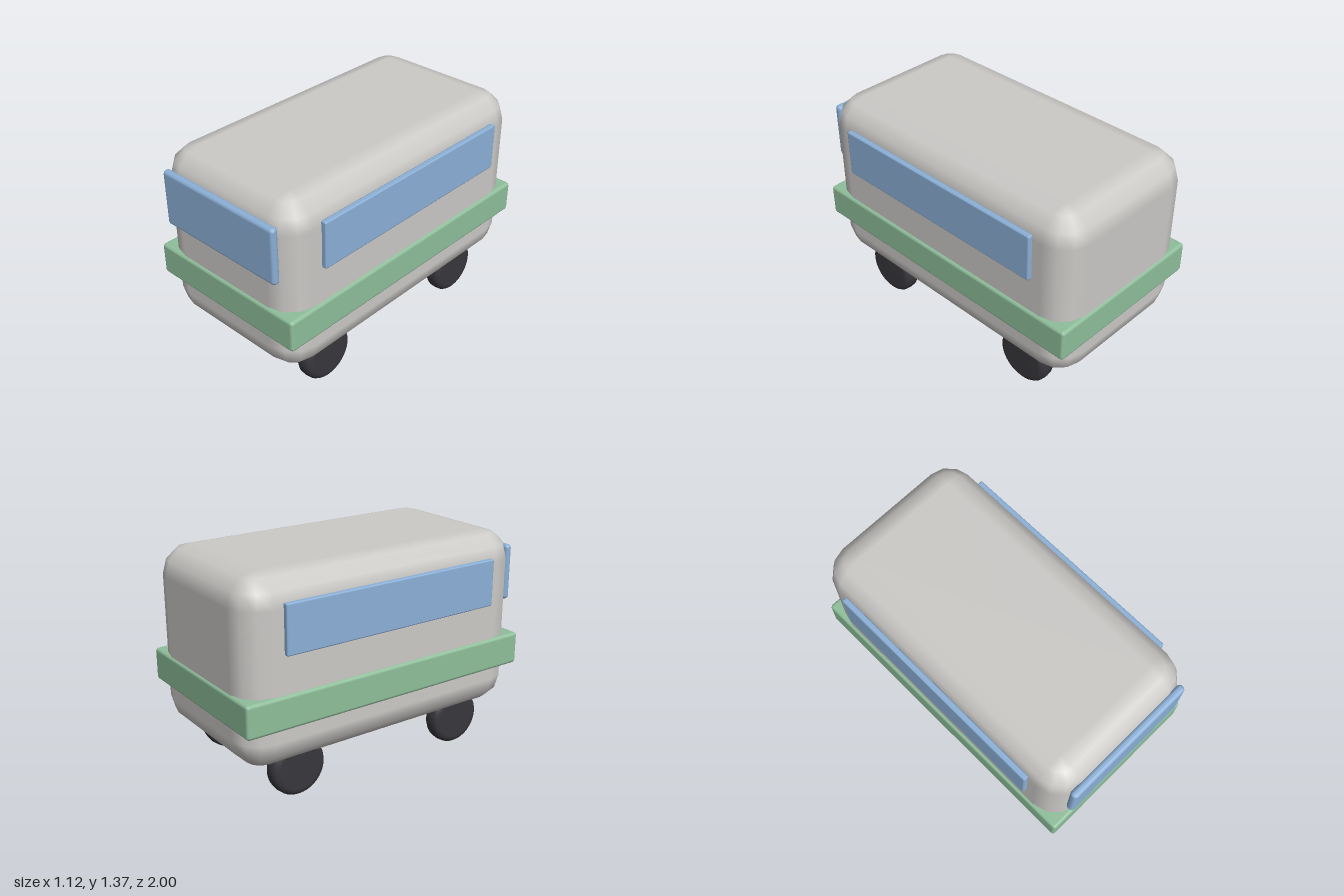
import * as THREE from 'three';

const paint = (name, color) => {
  const m = new THREE.MeshStandardMaterial({ color });
  m.name = name;
  return m;
};

// Rounded box from a sphere whose octants are pushed apart; n segments per bevel
function roundedBox(min, max, r, n) {
  const cols = n + 1;
  const rows = 2 * n + 3;
  const geo = new THREE.SphereGeometry(1, 4 * cols, rows);
  const pos = geo.attributes.position;
  const nor = geo.attributes.normal;
  const size = new THREE.Vector3().subVectors(max, min);
  const mid = new THREE.Vector3().addVectors(min, max).multiplyScalar(0.5);
  const core = size.clone().multiplyScalar(0.5).subScalar(r);
  for (let i = 0; i < pos.count; i++) {
    const row = Math.floor(i / (4 * cols + 1));
    const col = (i % (4 * cols + 1)) % (4 * cols);
    const q = Math.floor(col / cols);
    const theta = (q + (col % cols) / n) * Math.PI / 2;
    const pole = row === 0 || row === rows;
    const upper = row <= n + 1;
    const step = pole ? (upper ? 0 : 2 * n) : upper ? row - 1 : row - 2;
    const phi = step / n * Math.PI / 2;
    const d = new THREE.Vector3(
      -Math.cos(theta) * Math.sin(phi), Math.cos(phi), Math.sin(theta) * Math.sin(phi));
    const spread = pole ? 0 : 1;
    pos.setXYZ(i,
      mid.x + d.x * r + spread * [-1, 1, 1, -1][q] * core.x,
      mid.y + d.y * r + (upper ? 1 : -1) * core.y,
      mid.z + d.z * r + spread * [1, 1, -1, -1][q] * core.z);
    nor.setXYZ(i, d.x, d.y, d.z);
  }
  return geo;
}

export function createModel() {
  const van = new THREE.Group();
  van.name = 'van';
  const shell = paint('light grey', 0xcccac7);
  const green = paint('soft green', 0x8fbf9b);
  const blue = paint('window blue', 0x8cb1d8);
  const rubber = paint('tyre black', 0x38373c);

  const add = (name, geo, mat) => {
    const mesh = new THREE.Mesh(geo, mat);
    mesh.name = name;
    van.add(mesh);
    return mesh;
  };
  const box = (name, a, b, r, n, mat) =>
    add(name, roundedBox(new THREE.Vector3(...a), new THREE.Vector3(...b), r, n), mat);

  // Shell, waist band and windscreen
  box('body', [-0.53, 0.24, -0.985], [0.53, 1.365, 0.97], 0.18, 3, shell);
  box('waistBand', [-0.547, 0.495, -0.997], [0.547, 0.698, 0.985], 0.02, 3, green);
  box('windscreen', [-0.442, 0.893, 0.95], [0.442, 1.247, 1.0], 0.022, 3, blue);

  // Side windows
  for (const s of [1, -1]) {
    const x = [0.522 * s, 0.56 * s].sort((a, b) => a - b);
    box(s > 0 ? 'leftWindow' : 'rightWindow',
      [x[0], 0.925, -0.745], [x[1], 1.22, 0.733], 0.01, 2, blue);
  }

  // Wheels: disc profile with rounded shoulders, turned around the axle
  const R = 0.178, H = 0.058, b = 0.045;
  const profile = [new THREE.Vector2(0, -H)];
  for (let i = 0; i <= 8; i++) {
    const a = (i / 8 - 0.5) * Math.PI;
    const side = i < 4 ? -1 : i > 4 ? 1 : 0;
    profile.push(new THREE.Vector2(R - b + b * Math.cos(a), side * (H - b) + b * Math.sin(a)));
  }
  profile.push(new THREE.Vector2(0, H));
  const wheelGeo = new THREE.LatheGeometry(profile, 40).rotateZ(Math.PI / 2);
  for (const [end, z] of [['front', 0.588], ['rear', -0.598]]) {
    for (const [side, x] of [['Left', 0.383], ['Right', -0.387]]) {
      add(`${end}${side}Wheel`, wheelGeo, rubber).position.set(x, R, z);
    }
  }
  return van;
}
